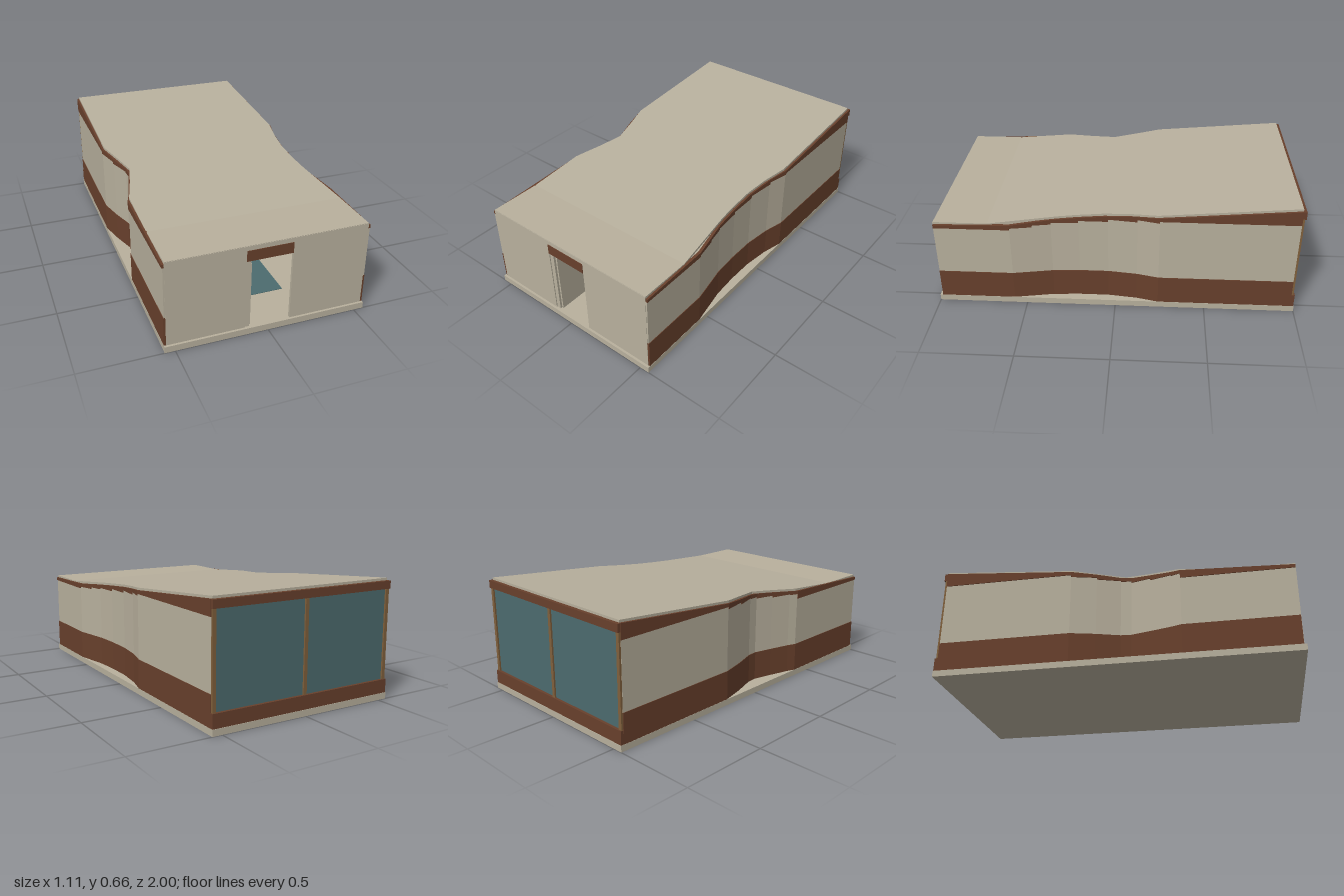
import * as THREE from 'three';
import { mergeGeometries } from 'three/addons/utils/BufferGeometryUtils.js';

const material = (name, color) => {
  const m = new THREE.MeshStandardMaterial({ color });
  m.name = name;
  return m;
};

// Six-sided block between two rectangles: each end is [z, x0, x1, y0, y1], front end first
function block(front, back) {
  const g = new THREE.BoxGeometry(1, 1, 1);
  const p = g.attributes.position;
  for (let i = 0; i < p.count; i++) {
    const [z, x0, x1, y0, y1] = p.getZ(i) > 0 ? front : back;
    p.setXYZ(i, p.getX(i) > 0 ? x1 : x0, p.getY(i) > 0 ? y1 : y0, z);
  }
  g.computeVertexNormals();
  return g;
}

const straight = (x0, x1, y0, y1, z0, z1) => block([z1, x0, x1, y0, y1], [z0, x0, x1, y0, y1]);

// Underside of the roof: level at the front, rising towards the back
const ceiling = (z) => 0.503 + Math.max(0, 0.69 - z) * 0.0862;

export function createModel() {
  const group = new THREE.Group();
  const plaster = material('plaster', 0xb8b09d);
  const timber = material('brownTimber', 0x68402c);
  const glass = material('tealGlass', 0x4c6b6e);
  const frame = material('tanFrame', 0x80603c);

  const add = (name, mat, ...parts) => {
    const mesh = new THREE.Mesh(mergeGeometries(parts), mat);
    mesh.name = name;
    group.add(mesh);
  };

  // Ground slab
  add('baseSlab', plaster, straight(-0.555, 0.555, 0, 0.035, -1, 1));

  // Side walls follow a plan line of [z, x]: timber plinth, plaster panels with stepped tops, timber fascia
  const plans = {
    left: [[0.985, 0.551], [0.57, 0.551], [0.45, 0.53], [0.35, 0.512], [0.2, 0.503],
      [0.04, 0.503], [-0.12, 0.522], [-0.24, 0.551], [-0.98, 0.551]],
    right: [[0.985, -0.551], [0.37, -0.551], [0.32, -0.533], [0.2, -0.5], [0.09, -0.472],
      [0.03, -0.476], [-0.1, -0.517], [-0.24, -0.551], [-0.98, -0.551]],
  };
  for (const [side, plan] of Object.entries(plans)) {
    const sign = side === 'left' ? 1 : -1;
    const plinth = [], panels = [], fascia = [];
    const end = ([z, x], y0, y1, out = 0) => {
      const outer = x + sign * out, inner = x - sign * 0.012;
      return [z, Math.min(outer, inner), Math.max(outer, inner), y0, y1];
    };
    for (let i = 0; i + 1 < plan.length; i++) {
      const a = plan[i], b = plan[i + 1];
      const top = ceiling(a[0]) - 0.019;
      plinth.push(block(end(a, 0.035, 0.2, 0.003), end(b, 0.035, 0.2, 0.003)));
      panels.push(block(end(a, 0.2, top), end(b, 0.2, top)));
      fascia.push(block(end(a, top, ceiling(a[0]), 0.004), end(b, top, ceiling(b[0]), 0.004)));
    }
    add(side + 'Plinth', timber, ...plinth);
    add(side + 'Wall', plaster, ...panels);
    add(side + 'Fascia', timber, ...fascia);
  }

  // Roof slab, pinched at both waists: stations of [z, x0, x1]
  const stations = [[0.985, -0.543, 0.543], [0.69, -0.543, 0.543], [0.36, -0.543, 0.506],
    [0.3, -0.526, 0.5], [0.2, -0.497, 0.495], [0.06, -0.463, 0.495],
    [-0.08, -0.5, 0.511], [-0.23, -0.543, 0.543], [-0.98, -0.543, 0.543]];
  const roof = stations.slice(1).map((b, i) => {
    const [e0, e1] = [stations[i], b].map(([z, x0, x1]) => [z, x0, x1, ceiling(z), ceiling(z) + 0.013]);
    return block(e0, e1);
  });
  add('roof', plaster, ...roof);

  // Front wall around the door opening
  add('frontWall', plaster,
    straight(-0.543, -0.125, 0.035, 0.49, 0.972, 0.987),
    straight(0.125, 0.543, 0.035, 0.49, 0.972, 0.987),
    straight(-0.543, 0.543, 0.49, 0.514, 0.972, 0.987));
  add('doorLintel', timber, straight(-0.125, 0.125, 0.43, 0.49, 0.972, 0.99));
  add('doorJamb', plaster, straight(-0.125, -0.1, 0.035, 0.43, 0.955, 0.982));

  // Entrance passage and inner partition
  add('passageWall', plaster, straight(-0.1, -0.09, 0.035, 0.4, 0.3, 0.97));
  add('partition', plaster, straight(-0.1, 0.055, 0.035, 0.4, 0.28, 0.3));
  add('partitionCap', timber, straight(-0.1, 0.055, 0.4, 0.411, 0.27, 0.305));
  add('floorInlay', glass, straight(-0.088, 0.2, 0.035, 0.038, 0.32, 0.74));

  // Glazed back with sill, header and tan posts
  add('backSill', timber, straight(-0.553, 0.553, 0.035, 0.11, -0.998, -0.972));
  add('backHeader', timber, straight(-0.553, 0.553, 0.603, 0.646, -0.998, -0.972));
  add('backGlass', glass, straight(-0.54, 0.54, 0.11, 0.603, -0.982, -0.976));
  add('backPosts', frame, ...[-0.54, 0, 0.54].map((x) =>
    straight(x - 0.01, x + 0.01, 0.11, 0.603, -0.991, -0.97)));

  return group;
}
